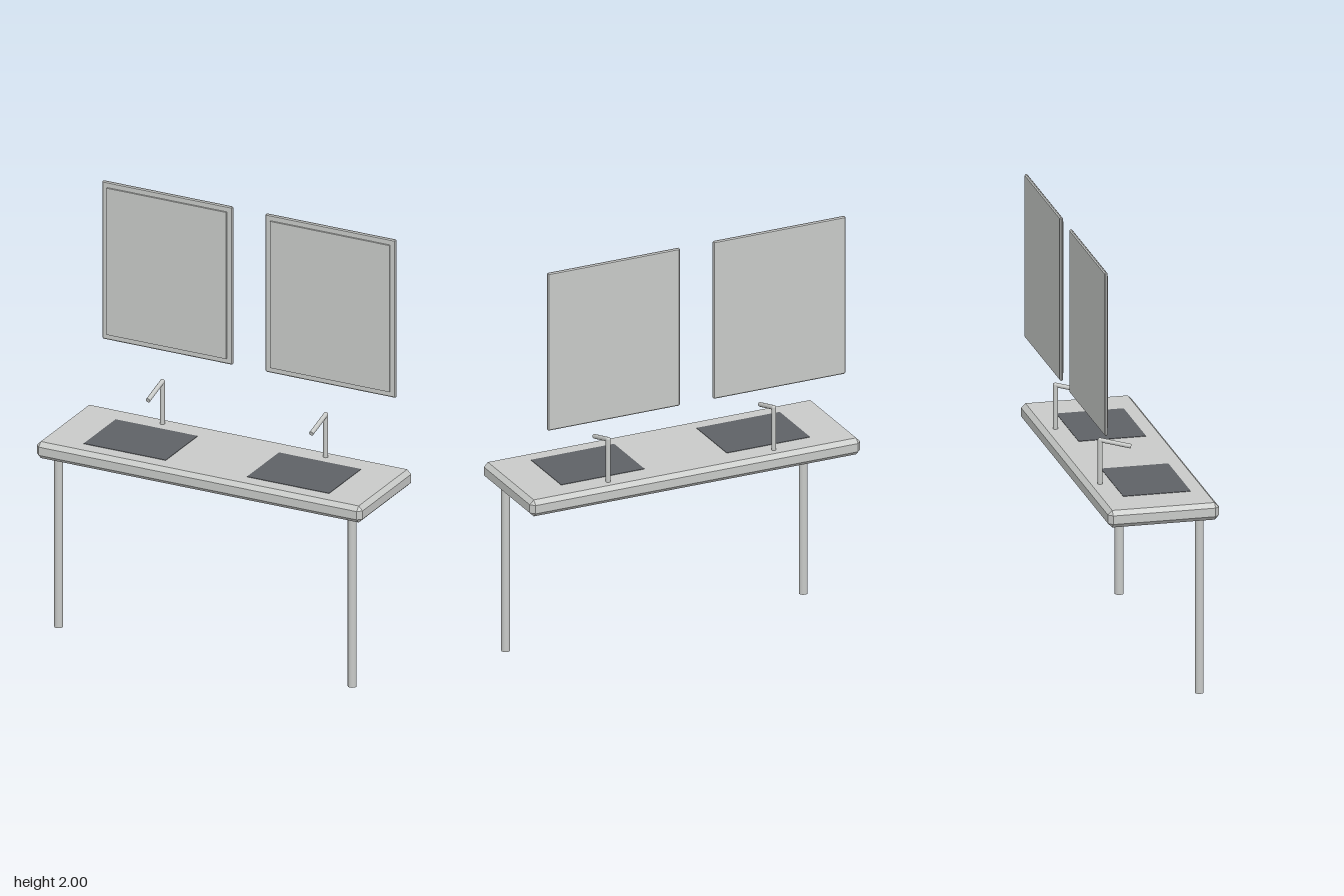
import * as THREE from 'three';
import { ConvexGeometry } from 'three/addons/geometries/ConvexGeometry.js';

// Box with every edge and corner cut flat by c
function chamferBox(w, h, d, c) {
  const pts = [];
  for (const sx of [-1, 1]) for (const sy of [-1, 1]) for (const sz of [-1, 1]) {
    const x = w / 2, y = h / 2, z = d / 2;
    pts.push(
      new THREE.Vector3(sx * x, sy * (y - c), sz * (z - c)),
      new THREE.Vector3(sx * (x - c), sy * y, sz * (z - c)),
      new THREE.Vector3(sx * (x - c), sy * (y - c), sz * z));
  }
  return new ConvexGeometry(pts);
}

// Round bar between two points
function bar(a, b, r, sides) {
  const dir = b.clone().sub(a);
  const g = new THREE.CylinderGeometry(r, r, dir.length(), sides);
  g.applyQuaternion(new THREE.Quaternion().setFromUnitVectors(
    new THREE.Vector3(0, 1, 0), dir.normalize()));
  const m = a.clone().add(b).multiplyScalar(0.5);
  return g.translate(m.x, m.y, m.z);
}

export function createModel() {
  const model = new THREE.Group();
  model.name = 'doubleVanity';

  const paleGrey = new THREE.MeshStandardMaterial({ color: 0xc8cac8 });
  paleGrey.name = 'pale grey';
  const darkGrey = new THREE.MeshStandardMaterial({ color: 0x5e6166 });
  darkGrey.name = 'dark grey';

  const add = (name, geometry, material, x = 0, y = 0, z = 0) => {
    const mesh = new THREE.Mesh(geometry, material);
    mesh.name = name;
    mesh.position.set(x, y, z);
    model.add(mesh);
    return mesh;
  };
  const v = (x, y, z) => new THREE.Vector3(x, y, z);

  // Countertop slab
  add('countertop', chamferBox(1.636, 0.08, 0.51, 0.02), paleGrey, 0, 0.865, 0);

  for (const [side, s] of [['left', 1], ['right', -1]]) {
    // Front support leg
    add(side + 'Leg', bar(v(0, 0, 0), v(0, 0.83, 0), 0.02, 16), paleGrey, s * 0.737, 0, 0.18);

    // Basin plate set on the counter
    add(side + 'Basin', new THREE.BoxGeometry(0.412, 0.004, 0.31), darkGrey, s * 0.41, 0.905, 0.016);

    // Tap: upright stem, rounded elbow and sloping spout
    add(side + 'TapStem', bar(v(0, 0.9, 0), v(0, 1.11, 0), 0.011, 12), paleGrey, s * 0.41, 0, -0.194);
    add(side + 'TapElbow', new THREE.SphereGeometry(0.0112, 12, 8), paleGrey, s * 0.41, 1.11, -0.194);
    add(side + 'TapSpout', bar(v(0, 1.11, -0.194), v(0, 1.07, -0.054), 0.0105, 12), paleGrey, s * 0.41, 0, 0);

    // Mirror: bevelled backing and a slightly smaller raised pane
    add(side + 'MirrorBacking', chamferBox(0.655, 0.765, 0.015, 0.005), paleGrey, s * 0.41, 1.6175, -0.2475);
    add(side + 'MirrorPane', new THREE.BoxGeometry(0.6, 0.71, 0.009), paleGrey, s * 0.41, 1.6175, -0.2365);
  }
  return model;
}
